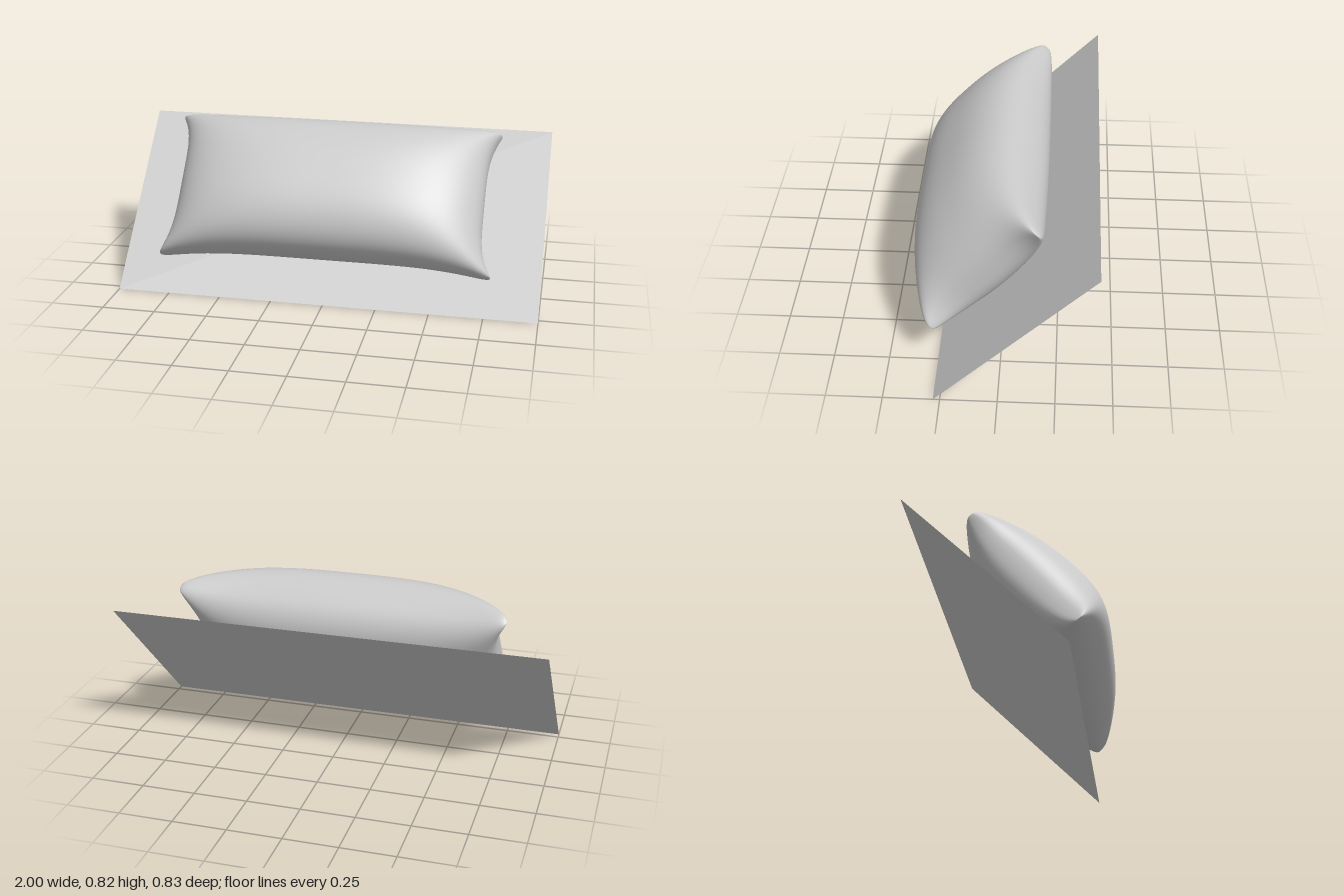
import * as THREE from 'three';
import { mergeGeometries, mergeVertices } from 'three/addons/utils/BufferGeometryUtils.js';

const SEG_X = 56, SEG_Y = 40;

// One half of the cushion: a grid bulged along its normal, with pulled-out corners
function cushionSheet(side) {
  const g = new THREE.PlaneGeometry(2, 2, SEG_X, SEG_Y);
  const p = g.attributes.position;
  const n = side > 0 ? 2.5 : 2.25;
  for (let i = 0; i < p.count; i++) {
    // sine spacing gathers rows near the seam, where the surface turns round
    const s = Math.sin(p.getX(i) * Math.PI / 2);
    const t = Math.sin(p.getY(i) * Math.PI / 2);
    const a = Math.abs(s), b = Math.abs(t);
    const round = 0.018 * (a * b) ** 24;
    const x = s * (0.72 + 0.073 * b ** 4 - round);
    const y = t * (0.333 + 0.035 * a ** 4 - round);
    const bulge = Math.max(0, 1 - a ** 3) ** (1 / 2.7) * Math.max(0, 1 - b ** n) ** (1 / n);
    const seam = 0.24 - 0.05 * a ** 4 + 0.024 * t * a ** 4;
    p.setXYZ(i, x, y, seam + side * 0.235 * bulge);
  }
  g.deleteAttribute('uv');
  g.deleteAttribute('normal');
  // the rear half faces the other way
  if (side < 0) g.setIndex(Array.from(g.index.array).reverse());
  return g;
}

export function createModel() {
  const model = new THREE.Group();
  model.name = 'cushionOnPanel';

  // Everything sits in the frame of the 45 degree slope
  const slope = new THREE.Group();
  slope.name = 'slope';
  slope.position.set(0, 0.35, -0.07);
  slope.rotation.x = -Math.PI / 4;
  model.add(slope);

  // Thin backing panel
  const panel = new THREE.Mesh(
    new THREE.PlaneGeometry(2, 0.99),
    new THREE.MeshStandardMaterial({ color: 0xcccccc, side: THREE.DoubleSide })
  );
  panel.name = 'panel';
  slope.add(panel);

  // Cushion: two halves welded at the seam
  const geometry = mergeVertices(mergeGeometries([cushionSheet(1), cushionSheet(-1)]), 1e-5);
  geometry.computeVertexNormals();
  const cushion = new THREE.Mesh(geometry, new THREE.MeshStandardMaterial({ color: 0xcccccc }));
  cushion.name = 'cushion';
  cushion.position.y = -0.011;
  slope.add(cushion);

  return model;
}
